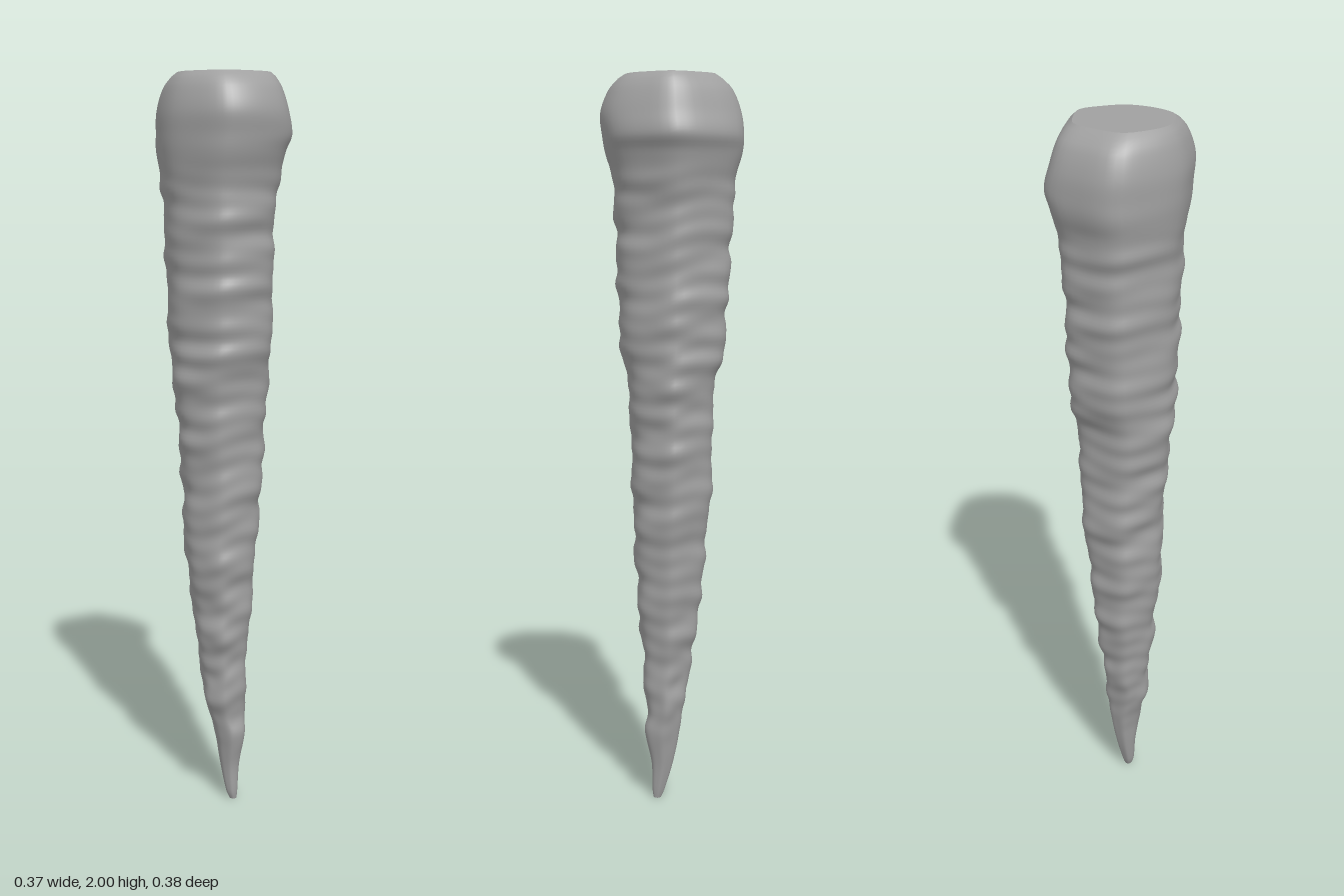
import * as THREE from 'three';

// Height, then extents of the body: xMin, xMax, zMin, zMax
const STATIONS = [
  [0, -0.018, 0.002, 0.033, 0.053],
  [0.02, -0.026, 0.006, 0.024, 0.056],
  [0.1, -0.036, 0.017, 0, 0.058],
  [0.2, -0.05, 0.033, -0.02, 0.077],
  [0.25, -0.065, 0.039, -0.028, 0.068],
  [0.32, -0.084, 0.047, -0.037, 0.078],
  [0.38, -0.081, 0.041, -0.052, 0.077],
  [0.5, -0.1, 0.059, -0.065, 0.088],
  [0.6, -0.105, 0.067, -0.082, 0.095],
  [0.7, -0.123, 0.078, -0.087, 0.1],
  [0.9, -0.127, 0.099, -0.106, 0.108],
  [1.1, -0.145, 0.113, -0.108, 0.113],
  [1.2, -0.156, 0.122, -0.118, 0.122],
  [1.28, -0.157, 0.126, -0.139, 0.137],
  [1.4, -0.159, 0.13, -0.146, 0.143],
  [1.6, -0.164, 0.132, -0.159, 0.15],
  [1.72, -0.172, 0.149, -0.165, 0.155],
  [1.8, -0.182, 0.166, -0.184, 0.176],
  [1.84, -0.184, 0.184, -0.186, 0.183],
  [1.9, -0.183, 0.168, -0.18, 0.188],
  [1.96, -0.169, 0.15, -0.157, 0.167],
  [1.99, -0.152, 0.133, -0.127, 0.142],
  [2, -0.14, 0.122, -0.112, 0.127],
];

// Rounded, slightly angular outline, counter-clockwise from above
const OUTLINE = [
  [-1, 0.04], [-0.87, 0.48], [-0.62, 0.88], [-0.34, 1], [0.12, 1], [0.5, 0.85],
  [0.8, 0.47], [1, 0], [0.78, -0.54], [0.47, -0.94], [0, -1], [-0.6, -0.92], [-0.87, -0.5],
];

const SIDES = 52;
const ROWS = 200;

// Smooth interpolation of the extents at a height
function extentsAt(y) {
  let k = 0;
  while (k < STATIONS.length - 2 && y > STATIONS[k + 1][0]) k++;
  const s = (i) => STATIONS[Math.min(Math.max(i, 0), STATIONS.length - 1)];
  const h = s(k + 1)[0] - s(k)[0];
  const t = (y - s(k)[0]) / h;
  const slope = (i, c) => (s(i + 1)[c] - s(i - 1)[c]) / (s(i + 1)[0] - s(i - 1)[0]);
  return [1, 2, 3, 4].map((c) =>
    s(k)[c] * (1 + 2 * t) * (1 - t) ** 2 + s(k + 1)[c] * t * t * (3 - 2 * t) +
    h * (slope(k, c) * t * (1 - t) ** 2 - slope(k + 1, c) * t * t * (1 - t)));
}

// Soft, uneven horizontal ridges, fading out at the tip and the smooth collar
function ripple(y, a) {
  const fade = THREE.MathUtils.smoothstep(y, 0.1, 0.4) * (1 - THREE.MathUtils.smoothstep(y, 1.68, 1.8));
  const drift = 0.9 * Math.sin(a + 2 * y) + 0.6 * Math.sin(2 * a - 3 * y + 1);
  const patch = 0.6 + 0.4 * Math.sin(2 * a + 7 * y);
  return fade * (
    0.0034 * patch * Math.sin(66 * y + 1.2 * drift + 2 * Math.sin(5 * y)) +
    0.0011 * Math.sin(109 * y - 1.5 * drift + Math.sin(3 * a)) +
    0.0026 * Math.sin(33 * y + 2 * a));
}

function ring(y, outline) {
  const [x0, x1, z0, z1] = extentsAt(y);
  return outline.map((p) => {
    const r = ripple(y, Math.atan2(p.y, p.x));
    return [
      (x0 + x1) / 2 + p.x * ((x1 - x0) / 2 + r), y,
      (z0 + z1) / 2 + p.y * ((z1 - z0) / 2 + r),
    ];
  });
}

function makeGeometry(points, index) {
  const geometry = new THREE.BufferGeometry();
  geometry.setAttribute('position', new THREE.Float32BufferAttribute(points.flat(), 3));
  geometry.setIndex(index);
  geometry.computeVertexNormals();
  return geometry;
}

// Flat end closing a ring
function cap(points, up) {
  const index = [];
  const centre = [0, 1, 2].map((c) => points.reduce((sum, p) => sum + p[c], 0) / SIDES);
  for (let j = 0; j < SIDES; j++) {
    const n = (j + 1) % SIDES;
    index.push(SIDES, ...(up ? [j, n] : [n, j]));
  }
  return makeGeometry([...points, centre], index);
}

export function createModel() {
  const group = new THREE.Group();
  group.name = 'icicle';
  const material = new THREE.MeshStandardMaterial({ color: 0xa0a0a0 });
  const add = (name, geometry) => {
    const mesh = new THREE.Mesh(geometry, material);
    mesh.name = name;
    group.add(mesh);
  };

  const curve = new THREE.CatmullRomCurve3(OUTLINE.map(([x, z]) => new THREE.Vector3(x, z, 0)), true);
  const outline = curve.getPoints(SIDES).slice(0, SIDES);

  // Tapered, rippled body lofted from tip to top
  const rings = [];
  for (let i = 0; i <= ROWS; i++) rings.push(ring((2 * i) / ROWS, outline));
  const index = [];
  for (let i = 0; i < ROWS; i++) {
    for (let j = 0; j < SIDES; j++) {
      const n = (j + 1) % SIDES;
      const a = i * SIDES + j, b = i * SIDES + n;
      index.push(a, b, b + SIDES, a, b + SIDES, a + SIDES);
    }
  }
  add('body', makeGeometry(rings.flat(), index));

  // Flat ends
  add('topFace', cap(rings[ROWS], true));
  add('tipFace', cap(rings[0], false));
  return group;
}
